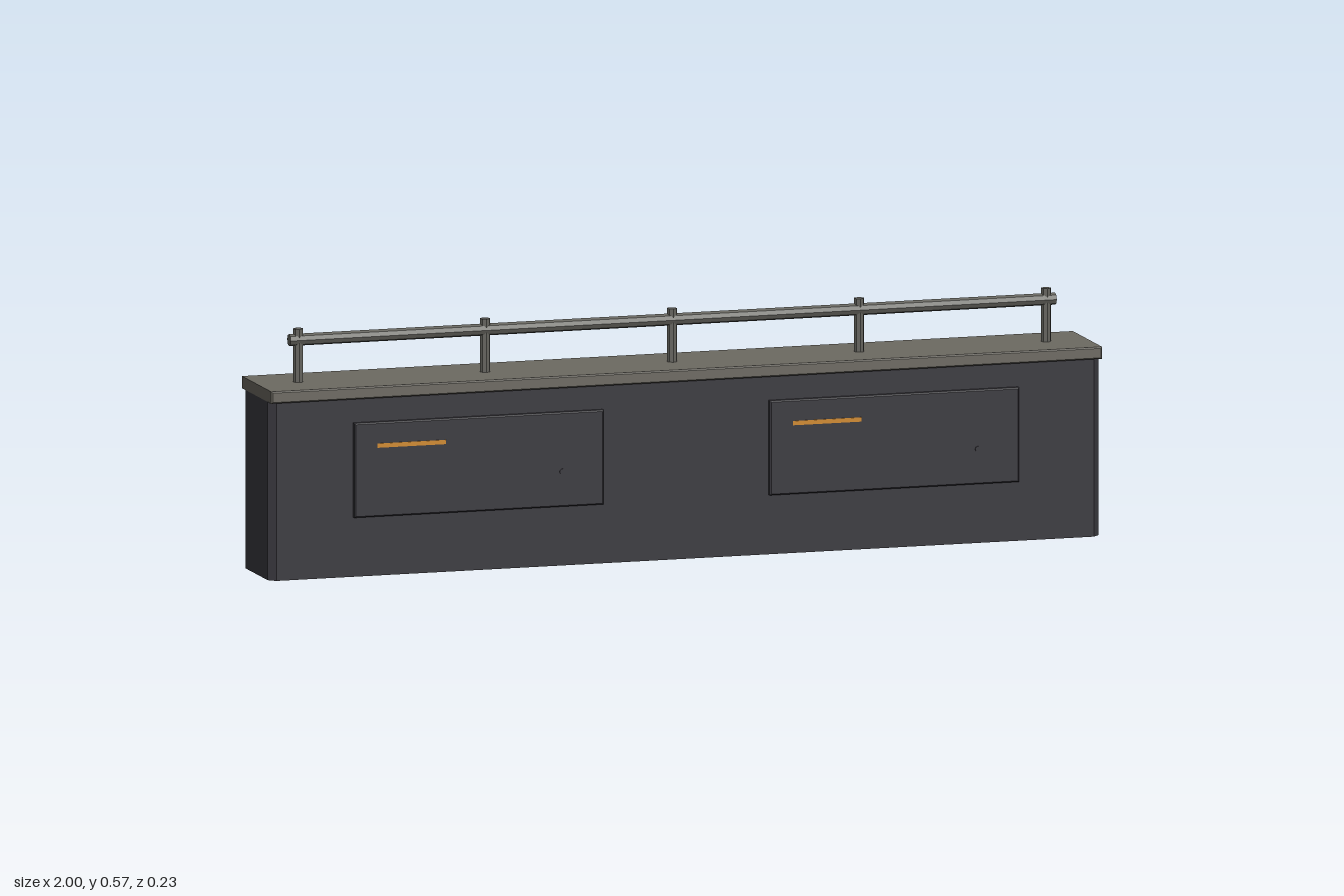
import * as THREE from 'three';

const mat = (name, color) => {
  const m = new THREE.MeshStandardMaterial({ color });
  m.name = name;
  return m;
};

// Box with small chamfers on every edge
function bevelBox(w, h, d, b) {
  const x = w / 2 - b, y = h / 2 - b;
  const shape = new THREE.Shape([
    new THREE.Vector2(-x, -y), new THREE.Vector2(x, -y),
    new THREE.Vector2(x, y), new THREE.Vector2(-x, y),
  ]);
  const g = new THREE.ExtrudeGeometry(shape, {
    depth: d - 2 * b, bevelSize: b, bevelThickness: b, bevelSegments: 1,
  });
  return g.translate(0, 0, b - d / 2);
}

// Upright block with only its vertical corners cut
function cutCornerBlock(w, h, d, c) {
  const x = w / 2, z = d / 2;
  const shape = new THREE.Shape([
    [-x + c, -z], [x - c, -z], [x, -z + c], [x, z - c],
    [x - c, z], [-x + c, z], [-x, z - c], [-x, -z + c],
  ].map(([a, b]) => new THREE.Vector2(a, b)));
  const g = new THREE.ExtrudeGeometry(shape, { depth: h, bevelEnabled: false });
  return g.rotateX(-Math.PI / 2);
}

export function createModel() {
  const group = new THREE.Group();
  group.name = 'lowWallWithRail';
  const wallMat = mat('charcoal', 0x3b3a40);
  const stoneMat = mat('warm grey', 0x6d6a62);
  const railMat = mat('rail grey', 0x66655f);
  const amberMat = mat('amber', 0xd08a30);

  const add = (name, geometry, material, x, y, z) => {
    const m = new THREE.Mesh(geometry, material);
    m.name = name;
    m.position.set(x, y, z);
    group.add(m);
    return m;
  };

  // Wall and its cap
  add('wall', cutCornerBlock(2, 0.416, 0.2, 0.016), wallMat, 0, 0, 0);
  add('cap', bevelBox(2, 0.028, 0.228, 0.003), stoneMat, 0, 0.429, 0);

  // Front panels, each with an amber strip and a small stud
  const panelGeo = bevelBox(0.6, 0.22, 0.016, 0.003);
  const stripGeo = new THREE.BoxGeometry(0.165, 0.01, 0.004);
  const studGeo = new THREE.CylinderGeometry(0.007, 0.007, 0.004, 8).rotateX(Math.PI / 2);
  for (const x of [-0.5, 0.5]) {
    add('panel', panelGeo, wallMat, x, 0.249, 0.106);
    add('panelStrip', stripGeo, amberMat, x - 0.163, 0.305, 0.114);
    add('panelStud', studGeo, wallMat, x + 0.2, 0.221, 0.114);
  }

  // Eight-sided posts and handrail
  railMat.flatShading = true;
  const postGeo = new THREE.CylinderGeometry(0.012, 0.012, 0.127, 8);
  for (let i = -2; i <= 2; i++) add('railPost', postGeo, railMat, i * 0.45, 0.5035, 0);
  const railGeo = new THREE.CylinderGeometry(0.014, 0.014, 1.844, 8).rotateZ(Math.PI / 2);
  add('handrail', railGeo, railMat, 0, 0.541, 0);

  return group;
}
